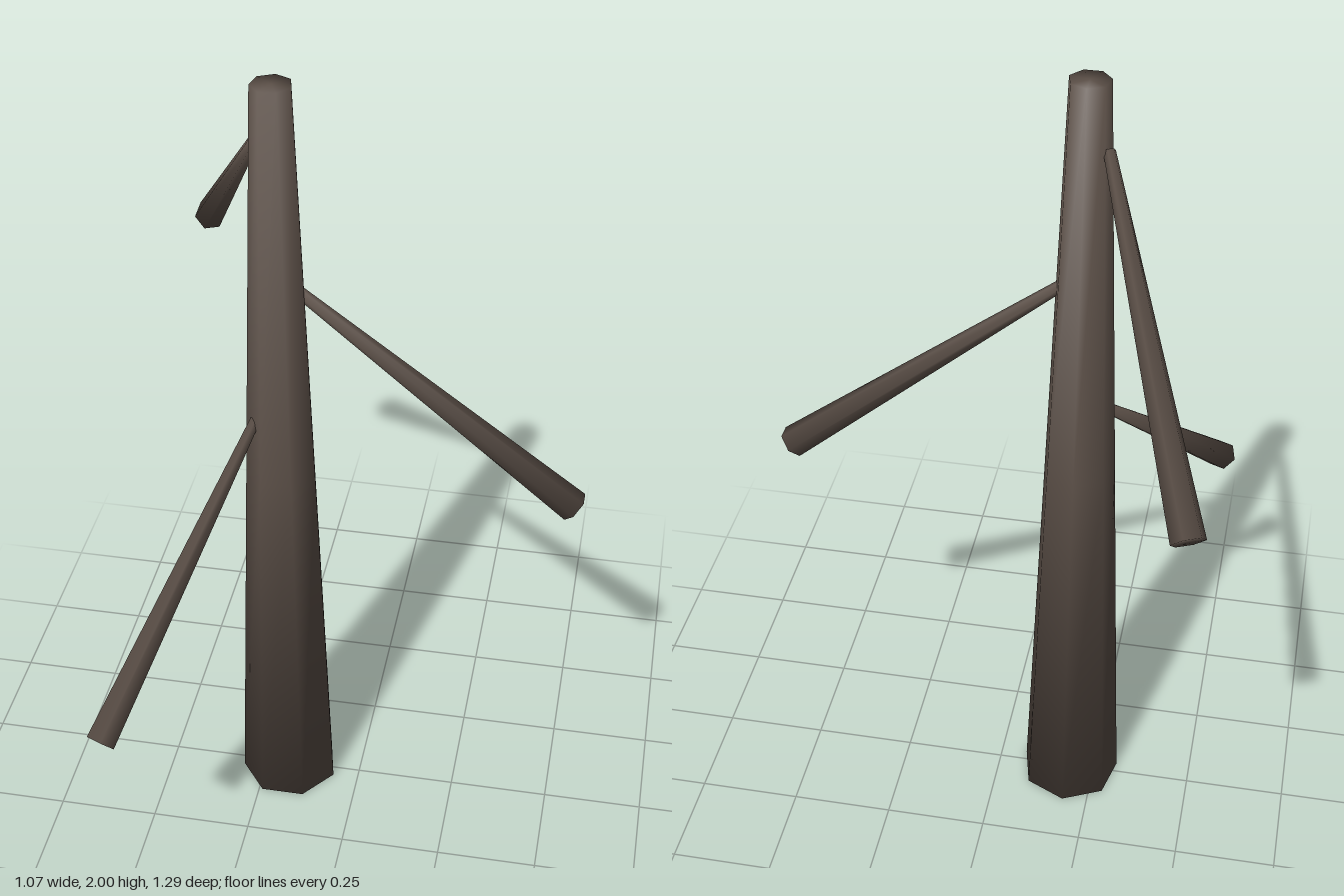
import * as THREE from 'three';

// Tapered log whose normals roll softly from the sides over the end caps
function taperedLog(topR, bottomR, height, sides, rows, turn) {
  const geo = new THREE.CylinderGeometry(topR, bottomR, height, sides, rows);
  geo.rotateY(turn);
  const pos = geo.attributes.position;
  const normal = geo.attributes.normal;
  const n = new THREE.Vector3();
  for (let i = 0; i < pos.count; i++) {
    const y = pos.getY(i);
    n.set(pos.getX(i), 0, pos.getZ(i));
    const onAxis = n.length() < 1e-5;
    n.normalize();
    if (Math.abs(y) > height / 2 - 1e-5) n.y = Math.sign(y) * (onAxis ? 1 : 0.75);
    else n.y = (bottomR - topR) / height;
    n.normalize();
    normal.setXYZ(i, n.x, n.y, n.z);
  }
  return geo;
}

export function createModel() {
  const model = new THREE.Group();
  model.name = 'bareTree';
  const bark = new THREE.MeshStandardMaterial({ color: 0x5c5048 });
  bark.name = 'bark';

  // Trunk: seven sides, one corner to the back
  const trunk = new THREE.Mesh(taperedLog(0.047, 0.125, 2, 7, 2, Math.PI), bark);
  trunk.name = 'trunk';
  trunk.position.set(-0.187, 1, 0);
  model.add(trunk);

  // Drooping branches, thin at the trunk and thick at the free end
  const branches = [
    ['leftBranch', [-0.135, 1.495, 0], [0.515, 0.975, 0]],
    ['backBranch', [-0.235, 1.85, -0.02], [-0.5, 1.31, -0.615]],
    ['frontBranch', [-0.24, 1.155, 0.035], [-0.49, 0.625, 0.615]],
  ];
  for (const [name, from, to] of branches) {
    const start = new THREE.Vector3(...from);
    const end = new THREE.Vector3(...to);
    const geo = taperedLog(0.039, 0.014, start.distanceTo(end), 6, 1, Math.PI / 6);
    geo.rotateX(Math.PI / 2);
    const branch = new THREE.Mesh(geo, bark);
    branch.name = name;
    branch.position.copy(start).lerp(end, 0.5);
    branch.lookAt(end);
    model.add(branch);
  }
  return model;
}
